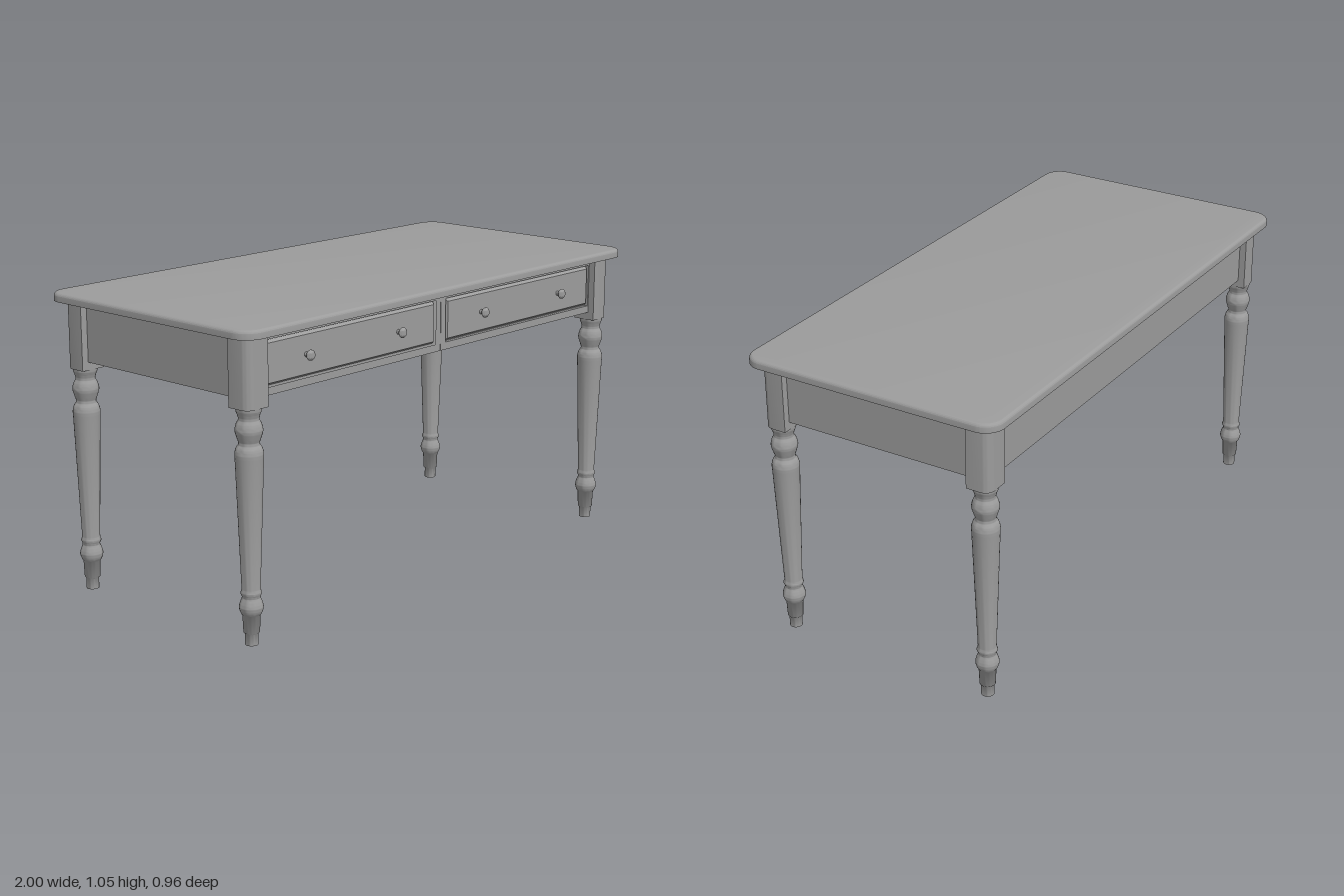
import * as THREE from 'three';
import { toCreasedNormals } from 'three/addons/utils/BufferGeometryUtils.js';

const material = new THREE.MeshStandardMaterial({ color: 0x9c9c9c });
const UNDER_TOP = 1.025, TOP = 1.055, APRON_BOTTOM = 0.818, BLOCK_BOTTOM = 0.79;
const LEG_X = 0.911, LEG_Z = 0.394;

function part(name, geometry, x = 0, y = 0, z = 0) {
  const mesh = new THREE.Mesh(geometry, material);
  mesh.name = name;
  mesh.position.set(x, y, z);
  return mesh;
}

function rect(path, x0, y0, x1, y1) {
  path.moveTo(x0, y0);
  path.lineTo(x1, y0);
  path.lineTo(x1, y1);
  path.lineTo(x0, y1);
  path.closePath();
  return path;
}

const points = (list) => list.map(([x, y]) => new THREE.Vector2(x, y));
const lathe = (profile, sides) => toCreasedNormals(new THREE.LatheGeometry(profile, sides), 0.9);

// Rounded slab: eased upper edge, flat underside
function tabletopGeometry() {
  const bevel = 0.014, w = 1 - bevel, d = 0.48 - bevel, r = 0.055;
  const s = new THREE.Shape();
  s.moveTo(w, -d + r);
  s.absarc(w - r, d - r, r, 0, Math.PI / 2);
  s.absarc(-w + r, d - r, r, Math.PI / 2, Math.PI);
  s.absarc(-w + r, -d + r, r, Math.PI, Math.PI * 1.5);
  s.absarc(w - r, -d + r, r, Math.PI * 1.5, Math.PI * 2);
  const geo = new THREE.ExtrudeGeometry(s, {
    depth: TOP - UNDER_TOP - bevel, bevelSize: bevel, bevelThickness: bevel, bevelSegments: 5, curveSegments: 10,
  });
  const p = geo.attributes.position;
  for (let i = 0; i < p.count; i++) p.setZ(i, Math.max(0, p.getZ(i)));
  geo.rotateX(-Math.PI / 2);
  return toCreasedNormals(geo, 0.3);
}

// Square leg block with its outer corner rounded
function blockGeometry(sx, sz) {
  const hx = 0.046, hz = 0.043, r = 0.032;
  const s = new THREE.Shape();
  s.moveTo(-hx * sx, -hz * sz);
  s.lineTo(hx * sx, -hz * sz);
  s.lineTo(hx * sx, (hz - r) * sz);
  for (let i = 1; i <= 8; i++) {
    const a = (i / 8) * Math.PI / 2;
    s.lineTo((hx - r + r * Math.cos(a)) * sx, (hz - r + r * Math.sin(a)) * sz);
  }
  s.lineTo(-hx * sx, hz * sz);
  s.closePath();
  const geo = new THREE.ExtrudeGeometry(s, { depth: UNDER_TOP - BLOCK_BOTTOM, bevelEnabled: false });
  geo.rotateX(Math.PI / 2);
  return toCreasedNormals(geo, 0.6);
}

// Turned leg: foot, lower beads, long taper and upper vase
function turnedLegGeometry() {
  const foot = points([[0, 0], [0.022, 0], [0.022, 0.038], [0.027, 0.043]]);
  const lowerBeads = new THREE.SplineCurve(points([
    [0.0295, 0.102], [0.035, 0.11], [0.04, 0.128], [0.036, 0.146], [0.0305, 0.16],
    [0.031, 0.168], [0.035, 0.176], [0.032, 0.185], [0.031, 0.194],
  ])).getPoints(40);
  const upper = new THREE.SplineCurve(points([
    [0.0465, 0.625], [0.047, 0.642], [0.042, 0.66], [0.034, 0.674], [0.039, 0.692], [0.0455, 0.716],
    [0.041, 0.738], [0.034, 0.752], [0.036, 0.766], [0.041, 0.779], [0.042, BLOCK_BOTTOM + 0.002],
  ])).getPoints(50);
  return lathe([...foot, ...lowerBeads, ...upper], 28);
}

export function createModel() {
  const model = new THREE.Group();
  model.name = 'writingTable';
  model.add(part('tabletop', tabletopGeometry(), 0, UNDER_TOP, 0));

  // Closed apron box behind the drawer front
  const h = UNDER_TOP - APRON_BOTTOM;
  model.add(part('apron', new THREE.BoxGeometry(1.864, h, 0.81), 0, APRON_BOTTOM + h / 2, -0.007));

  // Legs
  const legGeo = turnedLegGeometry();
  for (const sx of [-1, 1]) for (const sz of [-1, 1]) {
    const leg = new THREE.Group();
    leg.name = (sz > 0 ? 'front' : 'back') + (sx > 0 ? 'Left' : 'Right') + 'Leg';
    leg.position.set(sx * LEG_X, 0, sz * LEG_Z);
    leg.add(part('turnedLeg', legGeo), part('legBlock', blockGeometry(sx, sz), 0, UNDER_TOP, 0));
    model.add(leg);
  }

  // Drawer fronts with sloping edges set in a frame, each with two knobs
  const knobGeo = lathe(points([
    [0.009, -0.002], [0.008, 0.01], [0.014, 0.013], [0.018, 0.018], [0.0175, 0.023], [0.013, 0.028], [0.006, 0.031], [0, 0.0315],
  ]), 20);
  knobGeo.rotateX(Math.PI / 2);
  const slope = 0.009, x0 = 0.026, x1 = 0.861, y0 = 0.844, y1 = 0.998;
  for (const sx of [-1, 1]) {
    const drawer = new THREE.Group();
    drawer.name = sx > 0 ? 'leftDrawer' : 'rightDrawer';
    const frame = rect(new THREE.Shape(), sx * 0.001, APRON_BOTTOM, sx * 0.88, UNDER_TOP);
    frame.holes.push(rect(new THREE.Path(), sx * x0, y0, sx * x1, y1));
    drawer.add(part('drawerFrame', new THREE.ExtrudeGeometry(frame, { depth: 0.014, bevelEnabled: false }), 0, 0, 0.398));
    const inset = slope + 0.003;
    const face = rect(new THREE.Shape(), sx * (x0 + inset), y0 + inset, sx * (x1 - inset), y1 - inset);
    drawer.add(part('drawerFront', new THREE.ExtrudeGeometry(face, {
      depth: 0.004, bevelSize: slope, bevelThickness: 0.013, bevelSegments: 1,
    }), 0, 0, 0.395));
    for (const x of [0.221, 0.668]) drawer.add(part('knob', knobGeo, sx * x, (y0 + y1) / 2, 0.412));
    model.add(drawer);
  }
  return model;
}
